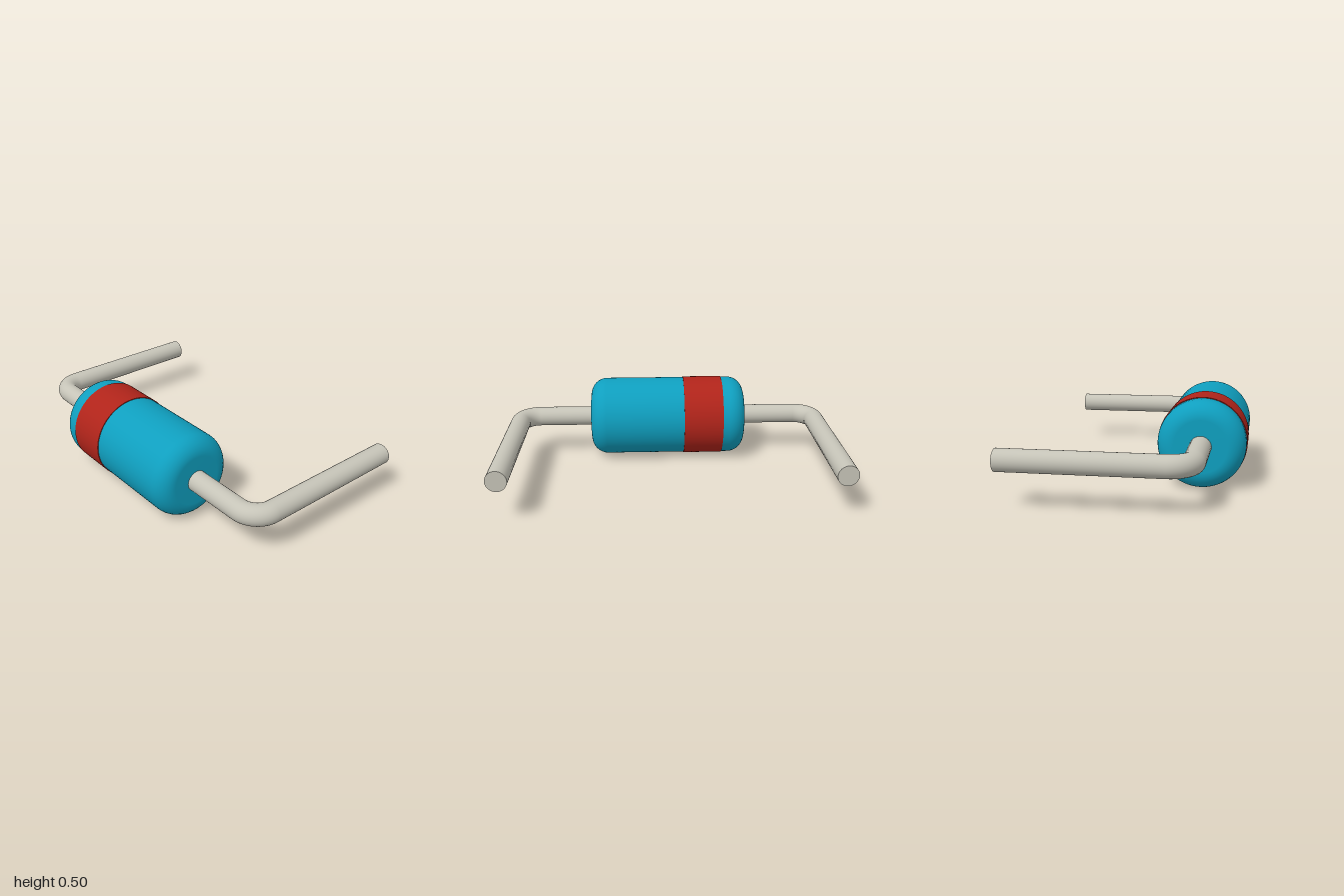
import * as THREE from 'three';

const AXIS_Y = 0.249, AXIS_Z = 0.367; // centre line of the body
const BODY_R = 0.245, BODY_HALF = 0.49, FILLET = 0.1;
const LEAD_R = 0.06, BEND_R = 0.12, LEAD_X = 0.94, LEAD_END = -0.616;

const material = (color) => new THREE.MeshStandardMaterial({ color });

function part(name, geometry, mat) {
  const mesh = new THREE.Mesh(geometry, mat);
  mesh.name = name;
  return mesh;
}

// Capsule-like body: a barrel with rounded rims and flat ends
function bodyGeometry() {
  const profile = [new THREE.Vector2(0, -BODY_HALF)];
  for (const side of [-1, 1]) {
    for (let i = 0; i <= 8; i++) {
      const a = (side < 0 ? i - 8 : i) / 8 * Math.PI / 2;
      profile.push(new THREE.Vector2(
        BODY_R - FILLET + FILLET * Math.cos(a),
        side * (BODY_HALF - FILLET) + FILLET * Math.sin(a)));
    }
  }
  profile.push(new THREE.Vector2(0, BODY_HALF));
  return new THREE.LatheGeometry(profile, 64).rotateZ(-Math.PI / 2);
}

// Bent wire: a stub out of the body, a quarter-circle elbow, a long straight leg
function makeLead(name, mat) {
  const lead = new THREE.Group();
  lead.name = name;
  const start = BODY_HALF - 0.05, bendX = LEAD_X - BEND_R;
  const stub = new THREE.CylinderGeometry(LEAD_R, LEAD_R, bendX - start, 32)
    .rotateZ(Math.PI / 2).translate((start + bendX) / 2, 0, 0);
  const elbow = new THREE.TorusGeometry(BEND_R, LEAD_R, 32, 16, Math.PI / 2)
    .rotateX(Math.PI / 2).translate(bendX, 0, -BEND_R);
  const end = LEAD_END - AXIS_Z;
  const leg = new THREE.CylinderGeometry(LEAD_R, LEAD_R, -BEND_R - end, 32)
    .rotateX(Math.PI / 2).translate(LEAD_X, 0, (end - BEND_R) / 2);
  lead.add(part('leadStub', stub, mat), part('leadElbow', elbow, mat), part('leadLeg', leg, mat));
  return lead;
}

export function createModel() {
  const model = new THREE.Group();
  model.name = 'axialComponent';
  const assembly = new THREE.Group();
  assembly.name = 'bodyAndLeads';
  assembly.position.set(0, AXIS_Y, AXIS_Z);
  model.add(assembly);

  assembly.add(part('body', bodyGeometry(), material(0x0f9fbf)));

  // Painted marking band, slightly proud of the body
  const band = new THREE.CylinderGeometry(0.249, 0.249, 0.245, 64)
    .rotateZ(Math.PI / 2).translate(-0.224, 0, 0);
  assembly.add(part('markingBand', band, material(0xb0241a)));

  // The second lead is the first turned half round the z axis
  const metal = material(0xc6c4b8);
  const rightLead = makeLead('rightLead', metal);
  rightLead.rotation.z = Math.PI;
  assembly.add(makeLead('leftLead', metal), rightLead);
  return model;
}
